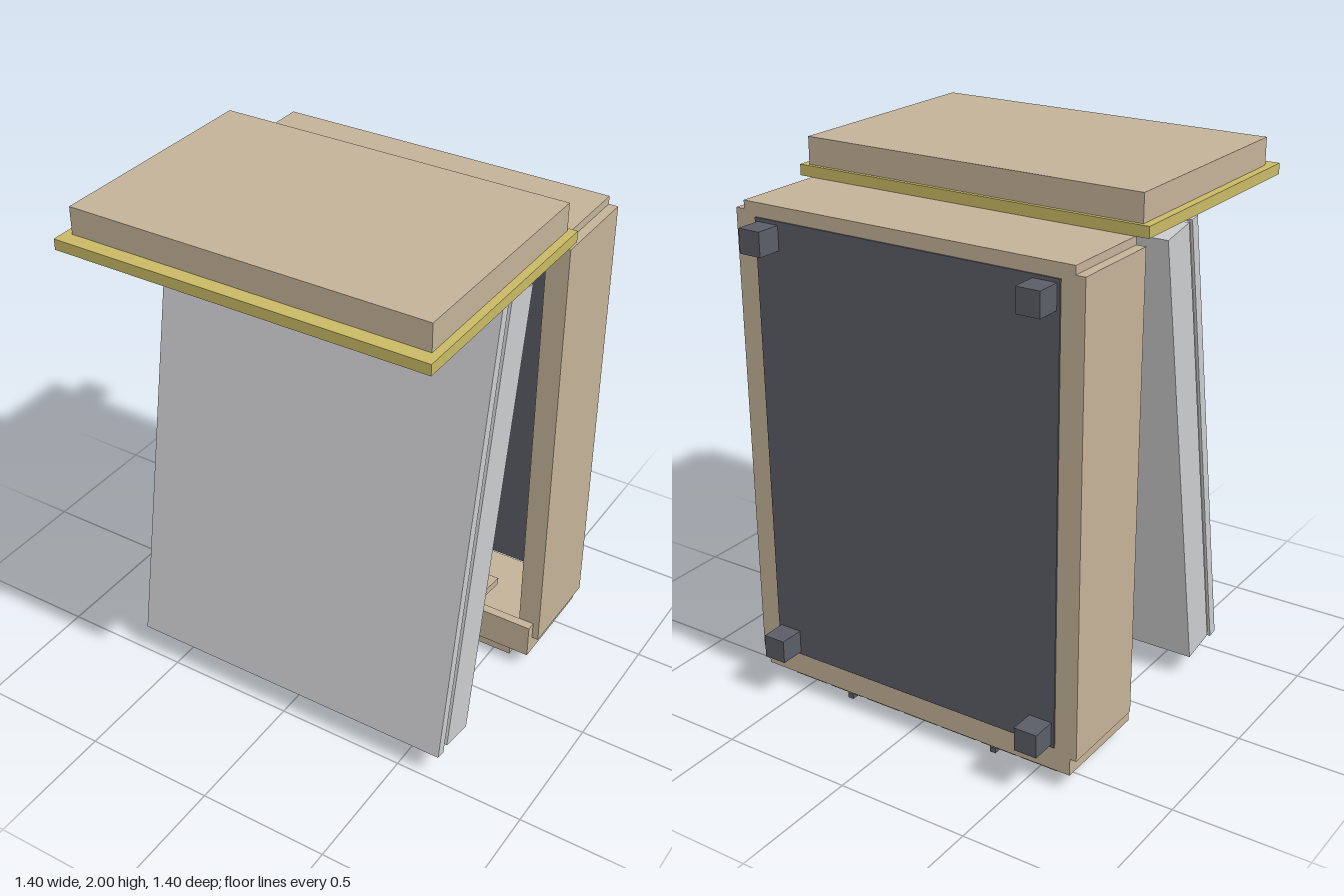
import * as THREE from 'three';

const mat = (name, color) => Object.assign(new THREE.MeshStandardMaterial({ color }), { name });

export function createModel() {
  const wood = mat('tan wood', 0xc4b298);
  const brass = mat('yellow trim', 0xc8b964);
  const grey = mat('light grey', 0xcbccce);
  const dark = mat('dark slate', 0x5a5d66);
  const steel = mat('steel', 0x8d939a);
  const model = new THREE.Group();
  model.name = 'cabinet';

  const group = (name, parent = model) => {
    const g = new THREE.Group();
    g.name = name;
    parent.add(g);
    return g;
  };
  // Box given by its minimum and maximum on each axis
  const box = (parent, name, m, x0, x1, y0, y1, z0, z1) => {
    const mesh = new THREE.Mesh(new THREE.BoxGeometry(x1 - x0, y1 - y0, z1 - z0), m);
    mesh.position.set((x0 + x1) / 2, (y0 + y1) / 2, (z0 + z1) / 2);
    mesh.name = name;
    parent.add(mesh);
    return mesh;
  };
  // Flat rectangular ring lying in the xz plane
  const ring = (parent, name, m, hx, y0, y1, z0, z1, t) => {
    const g = group(name, parent);
    box(g, 'frontRail', m, -hx, hx, y0, y1, z1 - t, z1);
    box(g, 'backRail', m, -hx, hx, y0, y1, z0, z0 + t);
    for (const s of [-1, 1]) {
      const c = s * (hx - t / 2);
      box(g, 'sideRail', m, c - t / 2, c + t / 2, y0, y1, z0 + t, z1 - t);
    }
  };

  // Open case
  const body = group('case');
  for (const s of [-1, 1]) {
    const c = s * 0.6425;
    box(body, 'sidePanel', wood, c - 0.0425, c + 0.0425, 0.13, 1.83, -0.6, -0.235);
  }
  box(body, 'topPanel', wood, -0.65, 0.65, 1.83, 1.86, -0.6, -0.235);
  box(body, 'topInner', wood, -0.6, 0.6, 1.8, 1.83, -0.6, -0.235);
  box(body, 'floor', wood, -0.66, 0.66, 0.065, 0.13, -0.6, -0.2);
  box(body, 'floorInner', wood, -0.6, 0.6, 0.13, 0.15, -0.6, -0.235);
  box(body, 'frontLip', wood, -0.66, 0.66, 0.13, 0.2, -0.235, -0.2);
  box(body, 'backPanel', dark, -0.6, 0.6, 0.155, 1.81, -0.606, -0.598);

  // Spacer blocks behind the case
  for (const x of [-0.545, 0.545])
    for (const y of [0.208, 1.753])
      box(body, 'rearSpacer', dark, x - 0.044, x + 0.044, y - 0.044, y + 0.044, -0.7, -0.605);

  // Slats and runners under the case
  const base = group('base');
  for (let i = -3; i <= 3; i++)
    box(base, 'slat', wood, i * 0.168 - 0.074, i * 0.168 + 0.074, 0.022, 0.065, -0.55, -0.215);
  for (const x of [-0.318, 0.314])
    box(base, 'runner', dark, x - 0.011, x + 0.011, 0.003, 0.024, -0.555, -0.21);

  // Small tilted shelf
  const shelf = box(model, 'shelf', wood, -0.51, 0.51, -0.014, 0.014, -0.14, 0.14);
  shelf.position.set(0, 0.38, -0.075);
  shelf.rotation.x = -0.145;

  // Leaning door, its origin at the lower front edge
  const door = group('door');
  door.position.set(0, 0.1, 0.48);
  door.rotation.x = -Math.atan2(0.31, 1.73);
  box(door, 'doorFace', grey, -0.655, 0.655, 0, 1.757, -0.038, 0);
  box(door, 'doorCore', grey, -0.645, 0.645, 0.02, 1.75, -0.06, -0.038);
  box(door, 'doorBack', grey, -0.655, 0.655, 0.02, 1.757, -0.205, -0.06);

  // Pivot discs below the door
  for (const x of [-0.38, 0.365]) {
    const disc = new THREE.Mesh(new THREE.CylinderGeometry(0.032, 0.032, 0.012, 20), steel);
    disc.position.set(x, 0.085, 0.243);
    disc.name = 'pivotDisc';
    model.add(disc);
  }

  // Lid with its trim and underside rails
  const lid = group('lid');
  box(lid, 'lidBlock', wood, -0.67, 0.67, 1.9, 2, -0.23, 0.645);
  ring(lid, 'lidTrim', brass, 0.7, 1.86, 1.9, -0.245, 0.7, 0.07);
  ring(lid, 'innerTrim', brass, 0.65, 1.835, 1.862, -0.03, 0.53, 0.035);
  for (const s of [-1, 1])
    box(lid, 'support', brass, s * 0.6 - 0.03, s * 0.6 + 0.03, 1.86, 1.9, -0.2, 0.64);
  box(lid, 'crossBar', brass, -0.43, 0.43, 1.812, 1.835, 0.33, 0.348);
  for (const x of [-0.44, 0.42])
    box(lid, 'barArm', wood, x - 0.03, x + 0.03, 1.825, 1.87, 0.31, 0.48);
  for (const x of [-0.38, -0.17, 0.14, 0.31])
    for (const z of [-0.09, 0.545])
      box(lid, 'catch', dark, x - 0.035, x + 0.035, 1.84, 1.9, z - 0.02, z + 0.02);

  return model;
}
